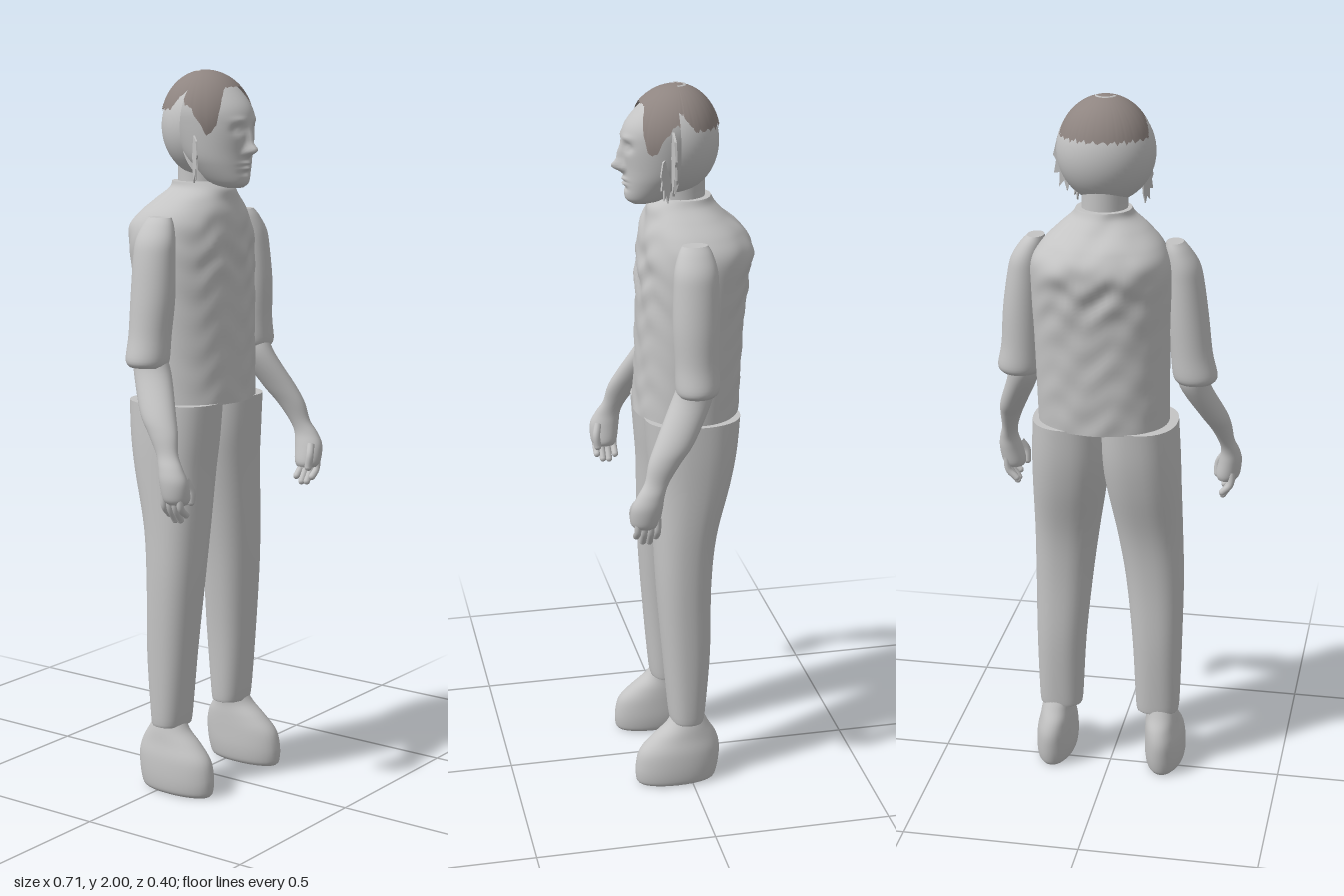
import * as THREE from 'three';

const mat = (name, color, side = THREE.FrontSide) => {
  const m = new THREE.MeshStandardMaterial({ color, side });
  m.name = name;
  return m;
};

// Smooth interpolation through station rows
function station(rows, t) {
  const i = Math.min(Math.floor(t), rows.length - 2), f = t - i;
  const at = k => rows[Math.max(0, Math.min(rows.length - 1, k))];
  return rows[i].map((_, c) => {
    const [p, a, b, q] = [at(i - 1)[c], at(i)[c], at(i + 1)[c], at(i + 2)[c]];
    return a + 0.5 * f * (b - p + f * (2 * p - 5 * a + 4 * b - q + f * (3 * (a - b) + q - p)));
  });
}

// Loft through rows [y, xMin, xMax, zBack, zFront], lowest first
function loft(rows, { seg = 32, sub = 5, power = 2, shape = null } = {}) {
  const pos = [], idx = [], n = (rows.length - 1) * sub;
  const v = new THREE.Vector3();
  const ring = t => {
    const [y, x0, x1, z0, z1] = station(rows, t);
    for (let j = 0; j < seg; j++) {
      const a = j / seg * Math.PI * 2, c = Math.cos(a), s = Math.sin(a);
      const e = 2 / power;
      v.set((x0 + x1) / 2 + (x1 - x0) / 2 * Math.sign(c) * Math.abs(c) ** e, y,
        (z0 + z1) / 2 + (z1 - z0) / 2 * Math.sign(s) * Math.abs(s) ** e);
      if (shape) shape(v, a);
      pos.push(v.x, v.y, v.z);
    }
    return [(x0 + x1) / 2, y, (z0 + z1) / 2];
  };
  for (let i = 0; i <= n; i++) ring(i / sub);
  for (let i = 0; i < n; i++) for (let j = 0; j < seg; j++) {
    const a = i * seg + j, b = i * seg + (j + 1) % seg;
    idx.push(a, a + seg, b, b, a + seg, b + seg);
  }
  for (const top of [false, true]) {
    const base = pos.length / 3;
    pos.push(...ring(top ? rows.length - 1 : 0));
    for (let j = 0; j < seg; j++) {
      const a = base + j, b = base + (j + 1) % seg;
      idx.push(base + seg, top ? b : a, top ? a : b);
    }
  }
  const g = new THREE.BufferGeometry();
  g.setAttribute('position', new THREE.Float32BufferAttribute(pos, 3));
  g.setIndex(idx);
  g.computeVertexNormals();
  return g;
}

export function createModel() {
  const root = new THREE.Group();
  root.name = 'standingFigure';
  const grey = mat('light grey', 0xc4c4c4);
  const greyThin = mat('light grey thin', 0xc4c4c4, THREE.DoubleSide);
  const brown = mat('brown grey hair', 0x8f8581, THREE.DoubleSide);
  const add = (name, geo, m = grey) => {
    const mesh = new THREE.Mesh(geo, m);
    mesh.name = name;
    root.add(mesh);
    return mesh;
  };
  const CX = 0.015;

  // Shirt with soft cloth wrinkles
  add('shirt', loft([
    [1.095, -0.168, 0.197, -0.16, 0.127], [1.2, -0.168, 0.2, -0.165, 0.122],
    [1.35, -0.17, 0.205, -0.172, 0.118], [1.48, -0.175, 0.21, -0.185, 0.115],
    [1.56, -0.172, 0.207, -0.197, 0.112], [1.61, -0.15, 0.18, -0.17, 0.105],
    [1.65, -0.11, 0.14, -0.125, 0.093], [1.68, -0.07, 0.105, -0.095, 0.085],
    [1.7, -0.06, 0.092, -0.085, 0.065],
  ], {
    seg: 72, sub: 9, power: 2.2,
    shape: (v, a) => {
      const w = 0.0012 + 0.002 * Math.exp(-(((v.y - 1.5) / 0.09) ** 2));
      v.z += w * Math.sign(Math.sin(a)) * Math.abs(Math.sin(a)) *
        (Math.sin(v.y * 75 + 2 * Math.sin(v.x * 38)) + Math.sin(v.x * 60 + v.y * 41));
    },
  }));
  add('neck', loft([[1.62, -0.055, 0.085, -0.07, 0.06], [1.7, -0.048, 0.078, -0.07, 0.062],
    [1.78, -0.05, 0.08, -0.07, 0.07]]));

  // Head with sculpted features: [x offset, y, depth, width, height]
  const features = [
    [0, 1.787, 0.03, 0.013, 0.015], [0, 1.815, 0.014, 0.009, 0.025],
    [0.036, 1.843, -0.012, 0.017, 0.012], [-0.036, 1.843, -0.012, 0.017, 0.012],
    [0.034, 1.842, 0.006, 0.01, 0.006], [-0.034, 1.842, 0.006, 0.01, 0.006],
    [0.034, 1.868, 0.004, 0.022, 0.008], [-0.034, 1.868, 0.004, 0.022, 0.008],
    [0, 1.752, 0.007, 0.02, 0.006], [0, 1.739, 0.007, 0.016, 0.005],
    [0, 1.745, -0.004, 0.022, 0.003], [0, 1.726, -0.006, 0.02, 0.006],
    [0.015, 1.782, 0.007, 0.006, 0.007], [-0.015, 1.782, 0.007, 0.006, 0.007],
  ];
  add('head', loft([
    [1.685, -0.01, 0.04, 0.08, 0.13], [1.7, -0.032, 0.062, 0.02, 0.147],
    [1.74, -0.056, 0.086, -0.02, 0.149], [1.78, -0.071, 0.101, -0.05, 0.15],
    [1.85, -0.083, 0.113, -0.08, 0.157], [1.9, -0.085, 0.115, -0.085, 0.145],
    [1.95, -0.07, 0.1, -0.06, 0.1], [1.985, -0.03, 0.06, -0.02, 0.05],
  ], {
    seg: 96, sub: 10,
    shape: v => {
      if (v.z < 0.07) return;
      for (const [x, y, d, w, h] of features)
        v.z += d * Math.exp(-(((v.x - CX - x) / w) ** 2) - (((v.y - y) / h) ** 2));
    },
  }));

  // Rounded shell behind the head
  const shell = add('backHairShell', new THREE.SphereGeometry(1, 40, 32, Math.PI, Math.PI), greyThin);
  shell.scale.set(0.135, 0.143, 0.128);
  shell.position.set(CX, 1.85, 0.022);

  // Dark hair cap with a ragged hem
  const N = 120, R = 16, cap = new THREE.PlaneGeometry(1, 1, N, R), cp = cap.attributes.position;
  for (let r = 0; r <= R; r++) for (let j = 0; j <= N; j++) {
    const a = (j % N) / N * Math.PI * 2, c = Math.cos(a), s = Math.sin(a);
    const side = Math.exp(-(((Math.abs(c) - 0.78) / 0.2) ** 2));
    const jag = 0.008 * Math.sin((j % N) * 2.4) * Math.sin((j % N) * 0.9);
    const hem = (s > 0 ? 1.955 - 0.125 * side : 1.895) + jag * (s > 0.8 ? 0.3 : 1);
    const th = r / R * Math.acos((hem - 1.86) / 0.14);
    cp.setXYZ(r * (N + 1) + j, CX + 0.128 * c * Math.sin(th), 1.86 + 0.14 * Math.cos(th),
      0.008 + (s > 0 ? 0.135 : 0.118) * s * Math.sin(th));
  }
  // Face the cap outwards
  const order = cap.index.array;
  for (let i = 0; i < order.length; i += 3) [order[i], order[i + 1]] = [order[i + 1], order[i]];
  cap.computeVertexNormals();
  add('hairCap', cap, brown);
  const crown = add('crownPatch', new THREE.TorusGeometry(0.025, 0.006, 6, 18, Math.PI), grey);
  crown.rotation.x = -Math.PI / 2;
  crown.position.set(CX, 1.993, 0.01);

  // Ragged locks beside the cheeks
  const lock = new THREE.Shape([[0, 0.17], [0.03, 0.15], [0.042, 0.1], [0.034, 0.085], [0.04, 0.05],
    [0.024, 0.052], [0.026, 0.012], [0.012, 0.03], [0.004, 0], [-0.008, 0.04], [-0.012, 0.1]]
    .map(p => new THREE.Vector2(...p)));
  const lockGeo = new THREE.ExtrudeGeometry(lock, { depth: 0.006, bevelEnabled: false });
  [[0.122, 1.725, 0.035, 0, 1], [0.1, 1.7, 0.045, -0.9, 0.75], [-0.083, 1.7, 0.045, -2.2, 0.75]].forEach(([x, y, z, turn, k]) => {
    const m = add('sideLock', lockGeo, grey);
    m.position.set(x, y, z);
    m.rotation.y = turn;
    m.scale.setScalar(k);
  });

  // Limbs are described on the +x side and mirrored
  for (const s of [1, -1]) {
    const side = s > 0 ? 'left' : 'right';
    const mirror = (rows, off) => rows.map(([y, a, b, c, d]) => {
      const o = off(y);
      return s > 0 ? [y, a + o, b + o, c, d] : [y, o - b, o - a, c, d];
    });
    const armOff = y => 0.015 * Math.max(0, Math.min(1, (y - 0.9) / 0.5));
    const legOff = y => 0.004 + 0.006 * Math.max(0, Math.min(1, (y - 0.6) / 0.5));

    add(side + 'TrouserLeg', loft(mirror([
      [0.185, 0.085, 0.2, -0.04, 0.05], [0.21, 0.08, 0.207, -0.045, 0.058],
      [0.4, 0.07, 0.212, -0.06, 0.075], [0.6, 0.05, 0.214, -0.064, 0.09],
      [0.75, 0.028, 0.212, -0.08, 0.096], [0.9, 0.002, 0.21, -0.12, 0.1],
      [1.0, -0.01, 0.208, -0.14, 0.108], [1.1, -0.012, 0.203, -0.15, 0.116],
    ], legOff), { seg: 40, power: 2.3 }));

    add(side + 'Foot', loft(mirror([
      [0, 0.12, 0.208, -0.065, 0.15], [0.012, 0.11, 0.218, -0.073, 0.158],
      [0.05, 0.105, 0.221, -0.082, 0.16], [0.1, 0.106, 0.217, -0.086, 0.148],
      [0.14, 0.108, 0.207, -0.076, 0.11], [0.175, 0.11, 0.2, -0.055, 0.068],
      [0.21, 0.105, 0.19, -0.038, 0.045],
    ], legOff), { power: 2.1 }));

    add(side + 'Sleeve', loft(mirror([
      [1.215, 0.195, 0.297, -0.048, 0.053], [1.235, 0.185, 0.308, -0.058, 0.06],
      [1.3, 0.18, 0.295, -0.058, 0.06], [1.4, 0.173, 0.286, -0.06, 0.065],
      [1.5, 0.17, 0.272, -0.06, 0.062], [1.55, 0.168, 0.26, -0.058, 0.058],
      [1.59, 0.165, 0.235, -0.048, 0.045], [1.612, 0.168, 0.215, -0.036, 0.033],
    ], armOff)));

    add(side + 'ForearmAndPalm', loft(mirror([
      [0.868, 0.285, 0.335, 0.125, 0.185], [0.885, 0.28, 0.348, 0.117, 0.195],
      [0.93, 0.29, 0.354, 0.11, 0.195], [0.965, 0.297, 0.348, 0.105, 0.178],
      [1.0, 0.292, 0.337, 0.09, 0.157], [1.05, 0.273, 0.333, 0.055, 0.145],
      [1.1, 0.248, 0.323, 0.015, 0.122], [1.2, 0.2, 0.285, -0.04, 0.07],
      [1.26, 0.205, 0.28, -0.045, 0.045],
    ], armOff)));

    // Four curled fingers and a thumb
    const digit = (name, pts, r) => {
      const path = pts.map(([x, y, z]) => new THREE.Vector3(s * x, y, z));
      add(side + name, new THREE.TubeGeometry(new THREE.CatmullRomCurve3(path), 10, r, 10));
      add(side + name + 'Tip', new THREE.SphereGeometry(r, 10, 8)).position.copy(path[path.length - 1]);
    };
    for (let i = 0; i < 4; i++) {
      const z = 0.125 + i * 0.018, low = 0.822 + [0.014, 0, 0.002, 0.018][i];
      digit('Finger', [[0.33, 0.9, z], [0.325, 0.86, z], [0.302, low, z]], 0.0095);
    }
    digit('Thumb', [[0.3, 0.935, 0.175], [0.283, 0.905, 0.183], [0.281, 0.872, 0.18]], 0.011);
  }
  return root;
}
